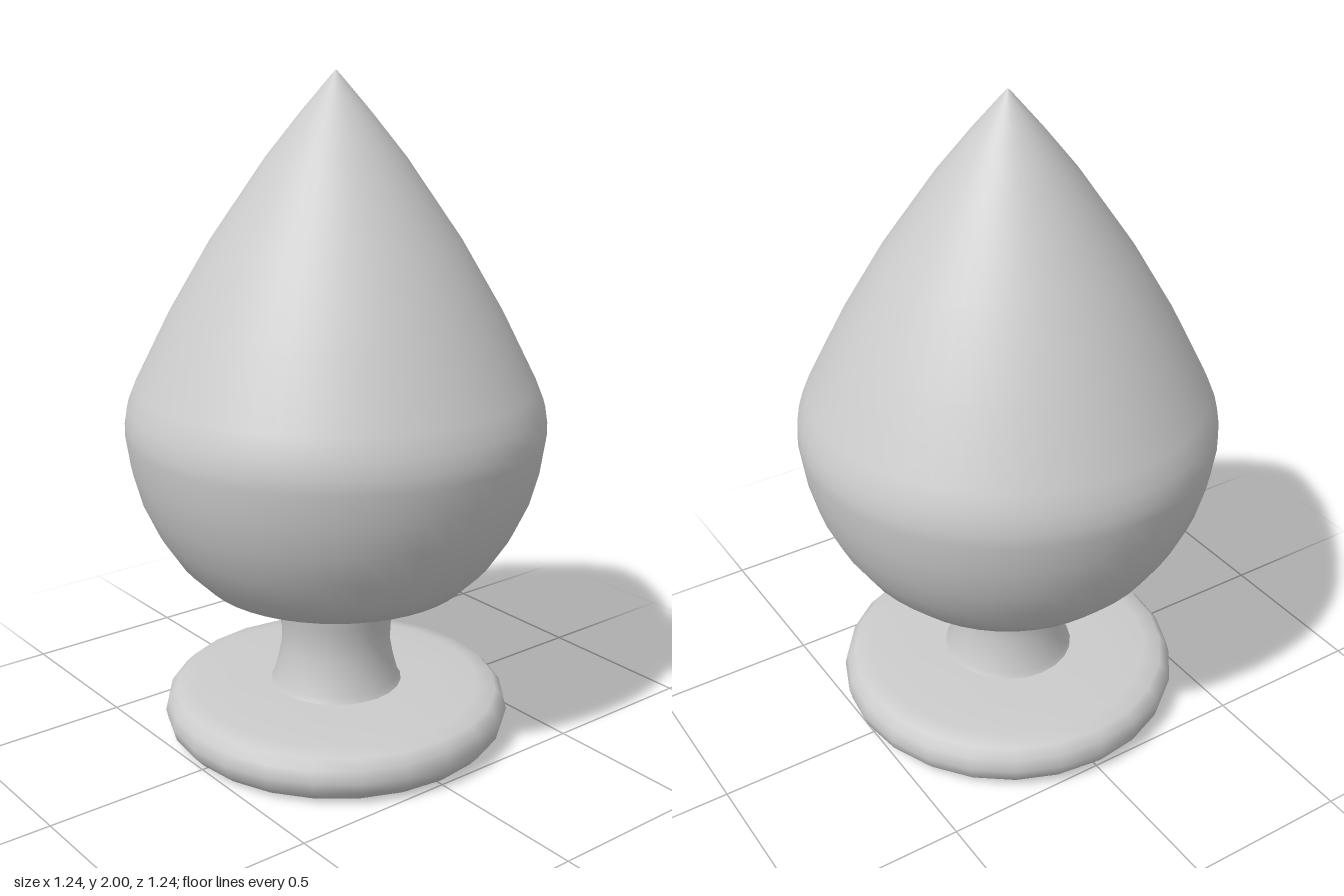
import * as THREE from 'three';

const material = new THREE.MeshStandardMaterial({ color: 0xcccccc });

// Turned part from [radius, height] pairs listed bottom to top
function turned(name, profile, segments) {
  const points = profile.map(([r, y]) => new THREE.Vector2(r, y));
  const mesh = new THREE.Mesh(new THREE.LatheGeometry(points, segments), material);
  mesh.name = name;
  return mesh;
}

export function createModel() {
  const group = new THREE.Group();
  group.name = 'finial';

  // Rounded foot disc
  group.add(turned('foot', [
    [0.46, 0], [0.495, 0.012], [0.52, 0.04], [0.529, 0.075], [0.52, 0.112],
    [0.495, 0.138], [0.44, 0.148], [0.32, 0.153], [0.18, 0.156],
  ], 24));

  // Flat underside of the foot
  const underside = new THREE.Mesh(new THREE.CircleGeometry(0.46, 24), material);
  underside.name = 'footUnderside';
  underside.rotation.x = Math.PI / 2;
  group.add(underside);

  // Waisted neck
  group.add(turned('neck', [
    [0.205, 0.15], [0.192, 0.172], [0.178, 0.225], [0.168, 0.28],
    [0.168, 0.335], [0.176, 0.385], [0.186, 0.437],
  ], 24));

  // Bulb: shallow cone below, round belly, tapering to a point
  group.add(turned('bulb', [
    [0.18, 0.432], [0.405, 0.51], [0.475, 0.58], [0.535, 0.672], [0.58, 0.77],
    [0.607, 0.87], [0.62, 0.96], [0.62, 1.0], [0.612, 1.05], [0.588, 1.11],
    [0.485, 1.315], [0.362, 1.525], [0.2, 1.76], [0.1, 1.885], [0.012, 1.988], [0, 2],
  ], 48));

  return group;
}
